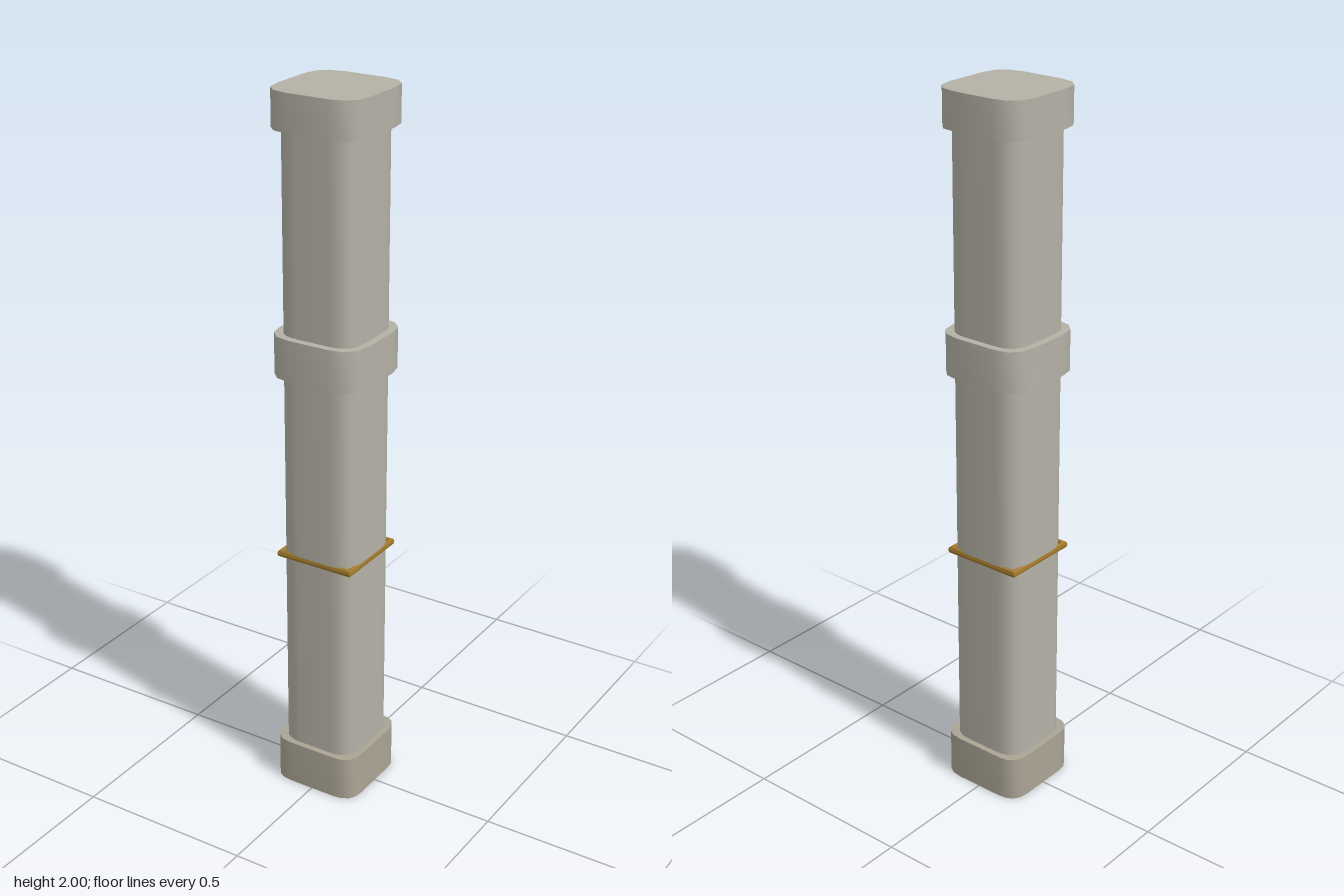
import * as THREE from 'three';
import { toCreasedNormals } from 'three/addons/utils/BufferGeometryUtils.js';

const stone = new THREE.MeshStandardMaterial({ color: 0xb4b1a6 });
const baseStone = new THREE.MeshStandardMaterial({ color: 0xaaa494 });
const gold = new THREE.MeshStandardMaterial({ color: 0xa37a2c });

// Soft square outline: half width h, straight part of each side reaching to s
function softSquare(h, s) {
  const shape = new THREE.Shape();
  shape.moveTo(h, -s);
  shape.lineTo(h, s);
  shape.quadraticCurveTo(h, h, s, h);
  shape.lineTo(-s, h);
  shape.quadraticCurveTo(-h, h, -h, s);
  shape.lineTo(-h, -s);
  shape.quadraticCurveTo(-h, -h, -s, -h);
  shape.lineTo(s, -h);
  shape.quadraticCurveTo(h, -h, h, -s);
  return shape;
}

// Upright block with a soft square plan, from y0 to y1
function block(name, h, s, y0, y1, segments, material) {
  const geometry = new THREE.ExtrudeGeometry(softSquare(h, s), {
    depth: y1 - y0, bevelEnabled: false, curveSegments: segments,
  });
  geometry.rotateX(-Math.PI / 2);
  geometry.translate(0, y0, 0);
  const mesh = new THREE.Mesh(toCreasedNormals(geometry, 0.7), material);
  mesh.name = name;
  return mesh;
}

export function createModel() {
  const group = new THREE.Group();
  group.name = 'column';

  group.add(
    block('base', 0.131, 0.073, 0, 0.13, 4, baseStone),
    block('shaft', 0.1145, 0.05, 0.1, 1.95, 6, stone),
    block('middleBand', 0.135, 0.06, 1.245, 1.36, 3, stone),
    block('cap', 0.135, 0.06, 1.9, 2, 3, stone),
  );

  // Thin square ring around the shaft
  const ringGeometry = new THREE.TorusGeometry(0.154, 0.011, 8, 4);
  ringGeometry.rotateZ(Math.PI / 4);
  ringGeometry.rotateX(Math.PI / 2);
  const ring = new THREE.Mesh(toCreasedNormals(ringGeometry, 0.9), gold);
  ring.name = 'ring';
  ring.position.y = 0.72;
  group.add(ring);

  return group;
}
